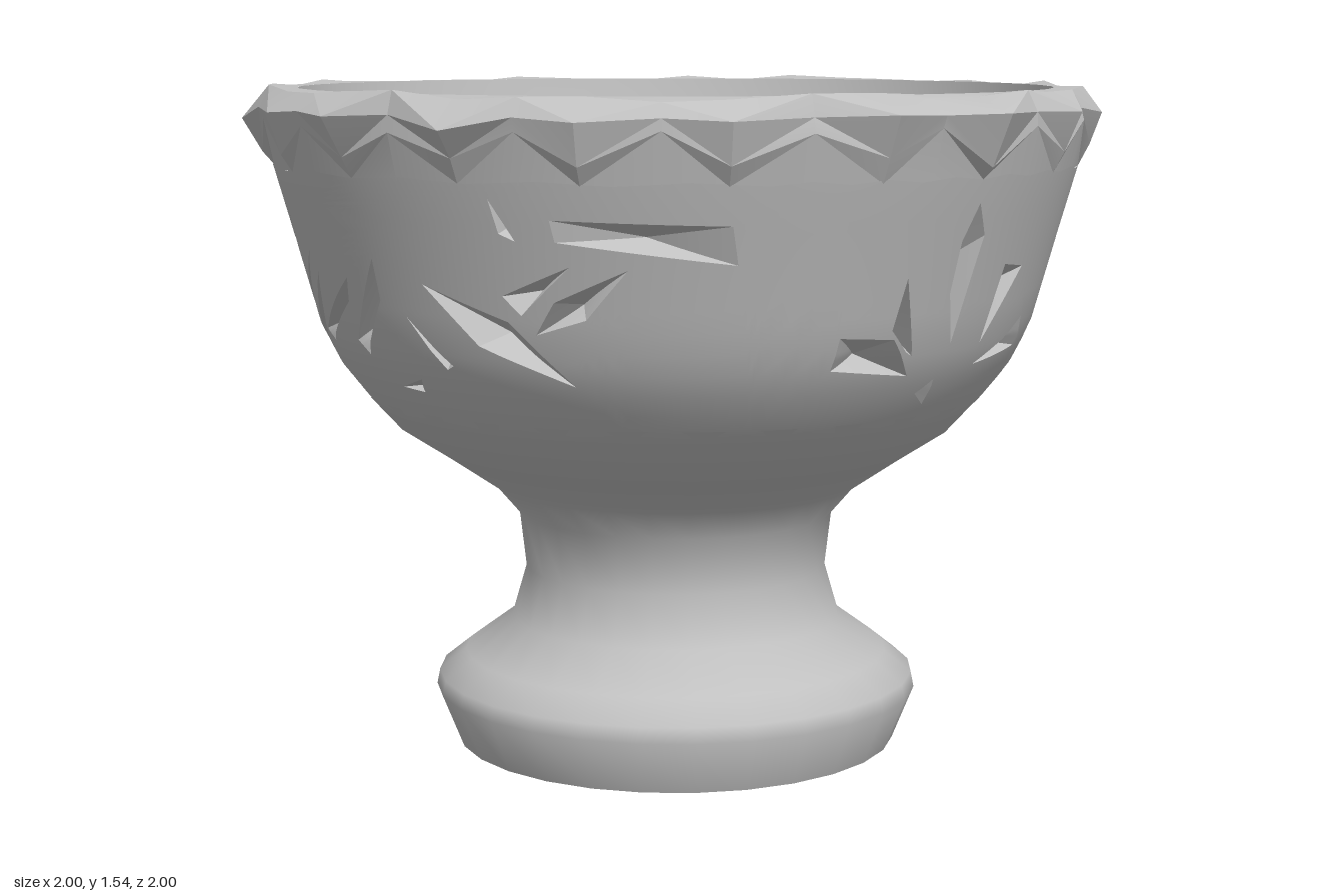
import * as THREE from 'three';
import { toCreasedNormals } from 'three/addons/utils/BufferGeometryUtils.js';
import { ConvexGeometry } from 'three/addons/geometries/ConvexGeometry.js';

const LOW = 0.83, HIGH = 1.36, CUT_DEPTH = 0.07;

let seed = 7;
const rand = () => (seed = (seed * 16807) % 2147483647) / 2147483647;
const vary = (a) => (rand() * 2 - 1) * a;

// Outer radius of the bowl wall at height y
const WALL_PROFILE = [[0.76, 0.655], [0.84, 0.725], [0.91, 0.78], [1.0, 0.825], [1.2, 0.88], [1.36, 0.925], [1.5, 0.96]];
function wallRadius(y) {
  let i = 1;
  while (i < WALL_PROFILE.length - 1 && y > WALL_PROFILE[i][0]) i++;
  const [y0, r0] = WALL_PROFILE[i - 1], [y1, r1] = WALL_PROFILE[i];
  return r0 + (r1 - r0) * (y - y0) / (y1 - y0);
}

// Cuts as [sideways distance, height], seen straight on
const FLOWER = [
  [[0.01, 1.31], [0.05, 1.24], [0.02, 1.01], [-0.02, 1.12], [-0.02, 1.23]],
  [[-0.15, 1.16], [-0.09, 0.99], [-0.11, 1.0], [-0.16, 1.05]],
  [[-0.28, 1.04], [-0.15, 1.03], [-0.08, 0.945], [-0.28, 0.97]],
  [[0.16, 1.17], [0.245, 1.16], [0.13, 1.0]],
  [[0.325, 1.04], [0.34, 0.97], [0.14, 0.95], [0.23, 0.99]],
  [[0.01, 0.93], [0.02, 0.87], [-0.03, 0.9]],
];
const SLASHES = [
  [[-0.73, 1.28], [-0.46, 1.29], [-0.46, 1.245], [-0.72, 1.2]],
  [[-0.35, 1.33], [-0.355, 1.26], [-0.385, 1.245]],
  [[-0.57, 1.19], [-0.43, 1.12], [-0.38, 1.05], [-0.48, 1.085]],
  [[-0.475, 1.195], [-0.33, 1.13], [-0.36, 1.09]],
  [[-0.14, 1.145], [-0.25, 1.02], [-0.42, 0.94], [-0.33, 1.075]],
  [[-0.07, 1.07], [-0.145, 0.96], [-0.165, 0.97]],
  [[0, 1.19], [0.14, 1.0], [0.11, 0.97], [0.005, 1.1]],
  [[-0.05, 0.93], [0.03, 0.905], [-0.04, 0.9]],
  [[0.12, 1.14], [0.33, 1.005], [0.3, 0.98], [0.14, 1.085]],
  [[0.28, 1.14], [0.48, 0.915], [0.35, 0.995]],
  [[0.3, 1.19], [0.53, 1.0], [0.475, 1.0]],
  [[0.42, 1.26], [0.66, 1.03], [0.51, 1.08]],
];

// Split every triangle into four
function subdivide(tris) {
  const out = [];
  for (const [a, b, c] of tris) {
    const mid = (p, q) => p.clone().add(q).multiplyScalar(0.5);
    const ab = mid(a, b), bc = mid(b, c), ca = mid(c, a);
    out.push([a, ab, ca], [ab, b, bc], [ca, bc, c], [ab, bc, ca]);
  }
  return out;
}

// Bend flat (angle, height, depth) triangles round the bowl
function bend(tris, centre) {
  for (let k = 0; k < 3; k++) tris = subdivide(tris);
  const points = tris.flat().map((p) => {
    const r = wallRadius(p.y) + p.z, t = centre + p.x;
    return new THREE.Vector3(r * Math.sin(t), p.y, r * Math.cos(t));
  });
  return new THREE.BufferGeometry().setFromPoints(points);
}

// One stretch of wall: smooth skin with openings, and the faceted cut behind each
function wallPanel(centre, half, cuts, flip) {
  // slightly wavy long edges, tucked under the neighbouring parts
  const outline = [], steps = 12;
  for (let i = 0; i <= steps; i++) outline.push(new THREE.Vector2(-half + 2 * half * i / steps, LOW - 0.008 * (i % 2)));
  for (let i = steps; i >= 0; i--) outline.push(new THREE.Vector2(-half + 2 * half * i / steps, HIGH + 0.008 * (i % 2)));
  const shape = new THREE.Shape(outline);
  const notches = [];
  for (const cut of cuts) {
    const loop = cut.map(([s, y]) => new THREE.Vector2(flip * Math.asin(s / wallRadius(y)), y));
    if (THREE.ShapeUtils.isClockWise(loop)) loop.reverse();
    shape.holes.push(new THREE.Path(loop));
    const rim = loop.map((p) => new THREE.Vector3(p.x, p.y, 0));
    const apex = new THREE.Vector3();
    rim.forEach((p) => apex.addScaledVector(p, 1 / rim.length));
    apex.z = -CUT_DEPTH;
    rim.forEach((p, i) => notches.push([p, rim[(i + 1) % rim.length], apex]));
  }
  const pos = new THREE.ShapeGeometry(shape).toNonIndexed().attributes.position;
  const tris = [];
  for (let i = 0; i < pos.count; i += 3) {
    tris.push([0, 1, 2].map((k) => new THREE.Vector3().fromBufferAttribute(pos, i + k)));
  }
  const skin = bend(tris, centre);
  const normals = [], p = skin.attributes.position;
  for (let i = 0; i < p.count; i++) {
    const y = p.getY(i), t = Math.atan2(p.getX(i), p.getZ(i));
    const slope = (wallRadius(y + 0.08) - wallRadius(y - 0.08)) / 0.16;
    normals.push(...new THREE.Vector3(Math.sin(t), -slope, Math.cos(t)).normalize().toArray());
  }
  skin.setAttribute('normal', new THREE.Float32BufferAttribute(normals, 3));
  return { skin, cuts: toCreasedNormals(bend(notches, centre), 0.3) };
}

function lathe(points, sides, crease = 0.95) {
  const g = new THREE.LatheGeometry(points.map(([r, y]) => new THREE.Vector2(r, y)), sides);
  return toCreasedNormals(g, crease);
}

// Faceted rim whose lobes alternate round the edge
function rimGeometry(lobes) {
  const n = lobes * 2, sections = [];
  for (let i = 0; i < n; i++) {
    const peak = i % 2 === 0, t = i / n * Math.PI * 2 + (i % 10 ? vary(0.03) : 0);
    const profile = [
      [0.925, HIGH],
      peak ? [0.95, 1.4 + vary(0.015)] : [0.95, 1.465 + vary(0.01)],
      peak ? [i % 10 ? 0.985 + vary(0.012) : 1, 1.48 + vary(0.02)] : [0.952 + vary(0.01), 1.495],
      [0.915 + vary(0.02), 1.535 + vary(0.01)],
      [0.868, 1.535],
    ];
    sections.push(profile.map(([r, y]) => new THREE.Vector3(r * Math.sin(t), y, r * Math.cos(t))));
  }
  const points = [];
  for (let i = 0; i < n; i++) {
    const a = sections[i], b = sections[(i + 1) % n];
    for (let j = 0; j < a.length - 1; j++) {
      // mirrored diagonals keep every lobe symmetrical
      if (i % 2 === 0) points.push(a[j], b[j], b[j + 1], a[j], b[j + 1], a[j + 1]);
      else points.push(a[j], b[j], a[j + 1], b[j], b[j + 1], a[j + 1]);
    }
  }
  return toCreasedNormals(new THREE.BufferGeometry().setFromPoints(points), 0.2);
}

// Angular lump: hull of scattered points
function lumpGeometry(size) {
  const points = [];
  for (let i = 0; i < 12; i++) {
    const p = new THREE.Vector3(vary(1), vary(1), vary(1)).normalize();
    points.push(p.multiply(new THREE.Vector3(size * 1.3, size * 0.95, size * 0.85)));
  }
  return new ConvexGeometry(points);
}

export function createModel() {
  const model = new THREE.Group();
  const stone = new THREE.MeshStandardMaterial({ color: 0xc0c0c0 });
  stone.name = 'grey stone';
  const add = (name, geometry, parent = model) => {
    const mesh = new THREE.Mesh(geometry, stone);
    mesh.name = name;
    parent.add(mesh);
    return mesh;
  };

  // Foot, stem and lower bowl in one turned piece
  add('pedestal', lathe([[0, 0], [0.52, 0], [0.57, 0.125], [0.563, 0.16], [0.5, 0.21], [0.39, 0.29],
    [0.355, 0.41], [0.37, 0.54], [0.43, 0.61], [0.54, 0.685], [0.655, 0.76], [0.728, 0.84]], 28));

  // Carved wall: flowers front and back, mirrored slashes on the sides
  const wall = new THREE.Group();
  wall.name = 'carvedWall';
  model.add(wall);
  const flowerHalf = 0.55, slashHalf = Math.PI / 2 - flowerHalf;
  for (const [name, centre, half, cuts, flip] of [
    ['frontFlower', 0, flowerHalf, FLOWER, 1],
    ['backFlower', Math.PI, flowerHalf, FLOWER, 1],
    ['leftSlash', Math.PI / 2, slashHalf, SLASHES, 1],
    ['rightSlash', -Math.PI / 2, slashHalf, SLASHES, -1],
  ]) {
    const panel = wallPanel(centre, half, cuts, flip);
    add(name + 'Wall', panel.skin, wall);
    add(name + 'Cuts', panel.cuts, wall);
  }

  add('scallopedRim', rimGeometry(20));

  // Smooth inside of the bowl
  add('bowlInside', lathe([[0.868, 1.535], [0.835, 1.36], [0.79, 1.2], [0.72, 1.02], [0.6, 0.9], [0, 0.86]], 40));

  // Heap of lumps on a low, nearly level bed
  const heap = new THREE.Group();
  heap.name = 'heap';
  heap.position.set(0.01, 0, -0.05);
  model.add(heap);
  add('heapBed', lathe([[0.71, 0.98], [0.7, 1.14], [0.6, 1.2], [0, 1.21]], 18), heap);
  const count = 95;
  for (let i = 0; i < count; i++) {
    const k = Math.sqrt((i + 0.5) / count), r = 0.66 * k, t = i * 2.39996;
    const lump = add('lump', lumpGeometry(0.07 + rand() * 0.07), heap);
    lump.position.set(r * Math.sin(t), 1.225 - 0.02 * k * k + vary(0.03), r * Math.cos(t));
    lump.rotation.set(vary(3), vary(3), vary(3));
  }
  return model;
}
